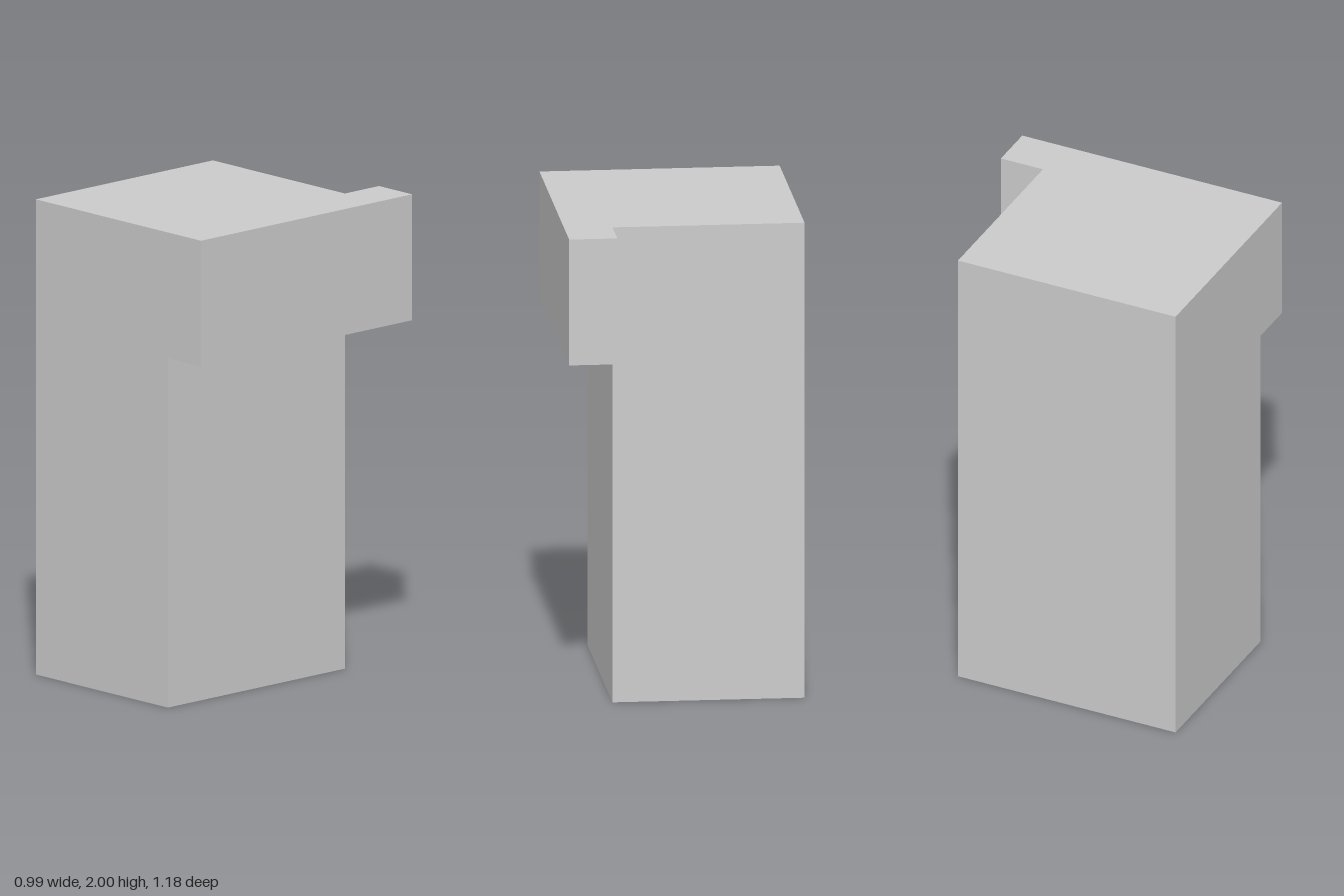
import * as THREE from 'three';

const X0 = -0.494, XM = 0.296, X1 = 0.494; // left edge, column side, block side
const ZF = 0.592, ZM = -0.4, ZB = -0.592;  // front, column back, block back
const H = 2, BLOCK_Y = 1.47, T = 0.01;     // height, block underside, wall thickness

// Plan outline given as [x, z] corners
const outline = (Type, pts) => new Type(pts.map(([x, z]) => new THREE.Vector2(x, -z)));

// Raise a plan shape from y0 to y1
function raise(shape, y0, y1) {
  const geo = new THREE.ExtrudeGeometry(shape, { depth: y1 - y0, bevelEnabled: false });
  return geo.rotateX(-Math.PI / 2).translate(0, y0, 0);
}

const rect = (xa, xb, za, zb) => [[xa, za], [xb, za], [xb, zb], [xa, zb]];

export function createModel() {
  const group = new THREE.Group();
  group.name = 'hollowColumn';
  const material = new THREE.MeshStandardMaterial({ color: 0xcccccc });
  const add = (name, geometry) => {
    const mesh = new THREE.Mesh(geometry, material);
    mesh.name = name;
    group.add(mesh);
  };

  // Thin column walls, open at the bottom
  const walls = outline(THREE.Shape, rect(X0, XM, ZF, ZM));
  walls.holes.push(outline(THREE.Path, rect(X0 + T, XM - T, ZF - T, ZM + T)));
  add('columnWalls', raise(walls, 0, H - T));

  // Side block that overhangs the back of the column
  add('sideBlock', raise(outline(THREE.Shape, rect(XM, X1, ZF, ZB)), BLOCK_Y, H - T));

  // One top panel covering both the column and the block
  const top = outline(THREE.Shape, [[X0, ZF], [X1, ZF], [X1, ZB], [XM, ZB], [XM, ZM], [X0, ZM]]);
  add('topPanel', raise(top, H - T, H));

  return group;
}
